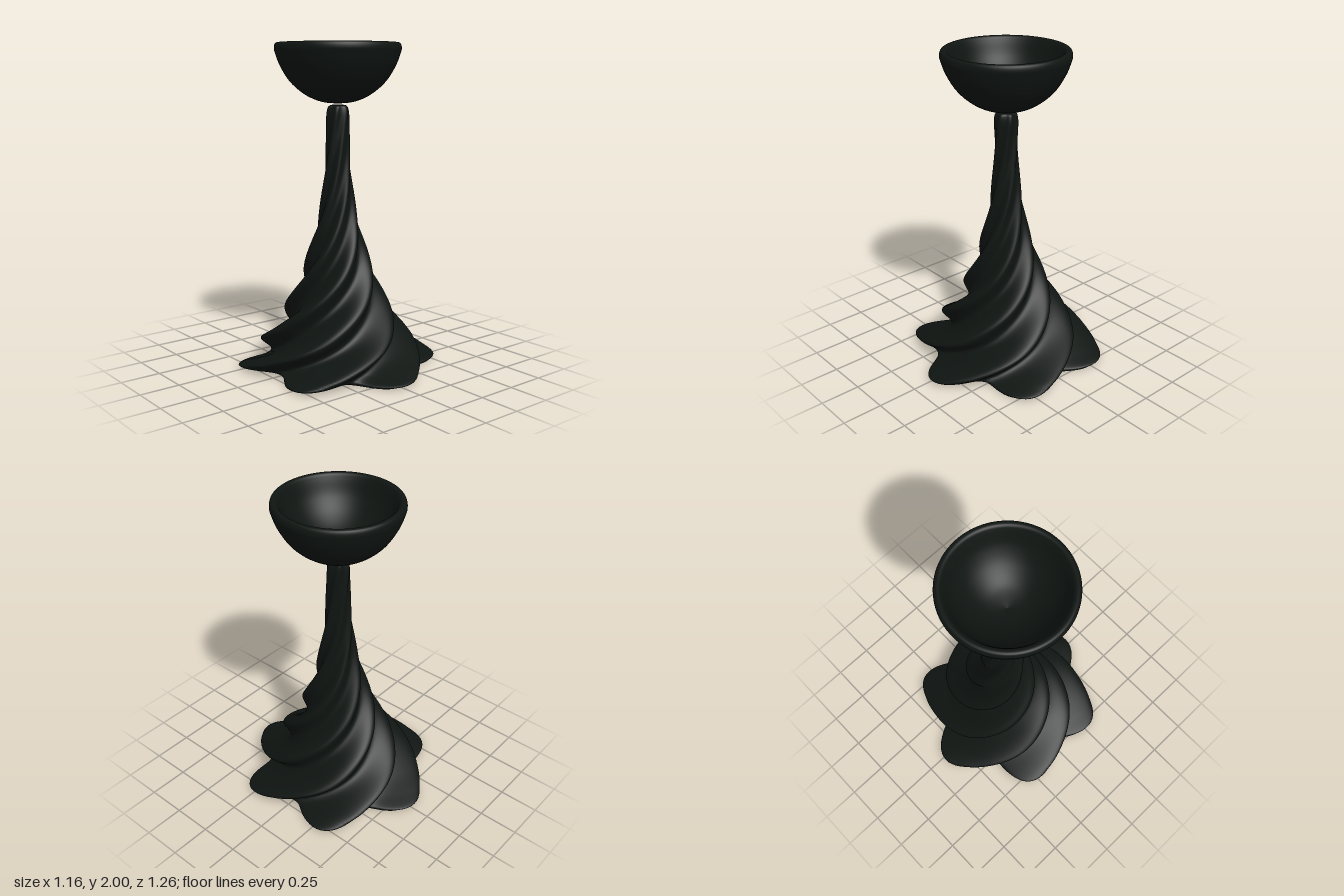
import * as THREE from 'three';

const LOBES = 6, SEGS = 144, ROWS = 200;

// Height, crest radius and twist (in steps of 30 degrees) up the stem
const stations = [
  [0, 0.59, -1.1], [0.018, 0.632, -0.9], [0.05, 0.595, -0.55], [0.1, 0.535, 0], [0.2, 0.452, 1],
  [0.33, 0.365, 2], [0.46, 0.29, 3], [0.6, 0.23, 4], [0.76, 0.175, 5], [0.93, 0.128, 6],
  [1.1, 0.099, 7], [1.29, 0.079, 8], [1.45, 0.073, 8.8], [1.595, 0.07, 9.5], [1.62, 0.058, 9.6], [1.628, 0.002, 9.62],
];
const TWIST_SCALE = 0.05;
const path = new THREE.CatmullRomCurve3(
  stations.map(([y, r, n]) => new THREE.Vector3(r, y, n * TWIST_SCALE)), false, 'centripetal');

// One six-lobed ring of the twisted stem
function ring(t) {
  const p = path.getPoint(t);
  const crest = -p.z / TWIST_SCALE * Math.PI / 6;
  const valley = THREE.MathUtils.lerp(0.73, 0.85, THREE.MathUtils.smoothstep(p.y, 0.6, 1.5));
  const points = [];
  for (let j = 0; j < SEGS; j++) {
    const a = j / SEGS * Math.PI * 2;
    const wave = Math.pow(0.5 + 0.5 * Math.cos(LOBES * (a - crest)), 1.15);
    const r = Math.max(p.x, 0.001) * (valley + (1 - valley) * wave);
    points.push(r * Math.cos(a), Math.max(p.y, 0), r * Math.sin(a));
  }
  return points;
}

function indexed(positions, index) {
  const g = new THREE.BufferGeometry();
  g.setAttribute('position', new THREE.Float32BufferAttribute(positions, 3));
  g.setIndex(index);
  g.computeVertexNormals();
  return g;
}

function stemGeometry() {
  const positions = [], index = [];
  for (let i = 0; i <= ROWS; i++) {
    positions.push(...ring(i / ROWS));
    if (i === ROWS) break;
    for (let j = 0; j < SEGS; j++) {
      const a = i * SEGS + j, b = i * SEGS + (j + 1) % SEGS;
      index.push(a, a + SEGS, b, b, a + SEGS, b + SEGS);
    }
  }
  return indexed(positions, index);
}

// Flat underside closing the lowest ring
function undersideGeometry() {
  const index = [];
  for (let j = 0; j < SEGS; j++) index.push(SEGS, j, (j + 1) % SEGS);
  return indexed([...ring(0), 0, 0, 0], index);
}

// Round bowl with a soft lip and a hollow inside
function bowlGeometry() {
  const profile = new THREE.SplineCurve([
    [0, 1.634], [0.1, 1.645], [0.2, 1.688], [0.29, 1.765], [0.35, 1.86], [0.38, 1.94], [0.385, 1.97],
    [0.378, 1.993], [0.362, 2], [0.345, 1.993], [0.33, 1.965], [0.29, 1.875], [0.22, 1.79], [0.12, 1.725], [0, 1.7],
  ].map(([x, y]) => new THREE.Vector2(x, y)));
  const points = profile.getPoints(84).map(p => new THREE.Vector2(Math.max(p.x, 0), Math.min(p.y, 2)));
  return new THREE.LatheGeometry(points, 96);
}

export function createModel() {
  const group = new THREE.Group();
  group.name = 'twistedPedestalBowl';
  const material = new THREE.MeshStandardMaterial({ color: 0x0f1512 });
  const add = (name, geometry) => {
    const mesh = new THREE.Mesh(geometry, material);
    mesh.name = name;
    group.add(mesh);
  };
  add('twistedStem', stemGeometry());
  add('underside', undersideGeometry());
  add('bowl', bowlGeometry());
  return group;
}
